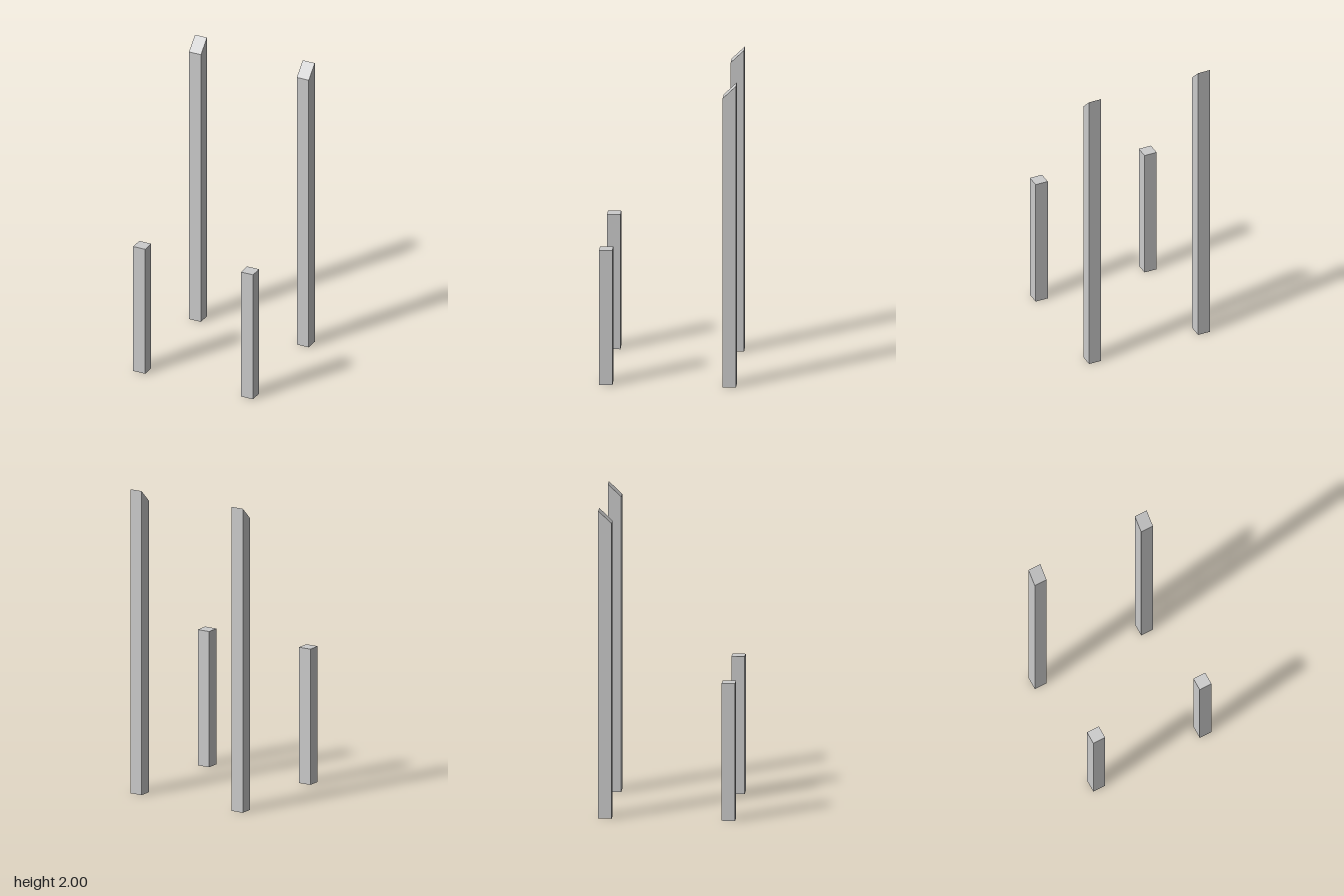
import * as THREE from 'three';

const T = 0.085;      // post thickness
const X = 0.3825;     // post centre, sideways
const Z = 0.3925;     // post centre, front to back
const FRONT_H = 0.893;
const BACK_H = 2;

export function createModel() {
  const group = new THREE.Group();
  const material = new THREE.MeshStandardMaterial({ color: 0xcccccc, flatShading: true });

  // Short front post: plain square block
  const frontGeometry = new THREE.BoxGeometry(T, FRONT_H, T).translate(0, FRONT_H / 2, 0);

  // Tall back post: the front top edge is lowered to give a 45 degree cut
  const backGeometry = new THREE.BoxGeometry(T, BACK_H, T).translate(0, BACK_H / 2, 0);
  const p = backGeometry.attributes.position;
  for (let i = 0; i < p.count; i++) {
    if (p.getY(i) > 1 && p.getZ(i) > 0) p.setY(i, BACK_H - T + 0.002);
  }
  backGeometry.computeVertexNormals();

  // Mirror both posts to the left (+x) and right (-x)
  for (const [side, sign] of [['left', 1], ['right', -1]]) {
    const front = new THREE.Mesh(frontGeometry, material);
    front.name = `${side}FrontPost`;
    front.position.set(sign * X, 0, Z);

    const back = new THREE.Mesh(backGeometry, material);
    back.name = `${side}BackPost`;
    back.position.set(sign * X, 0, -Z);

    group.add(front, back);
  }
  return group;
}
